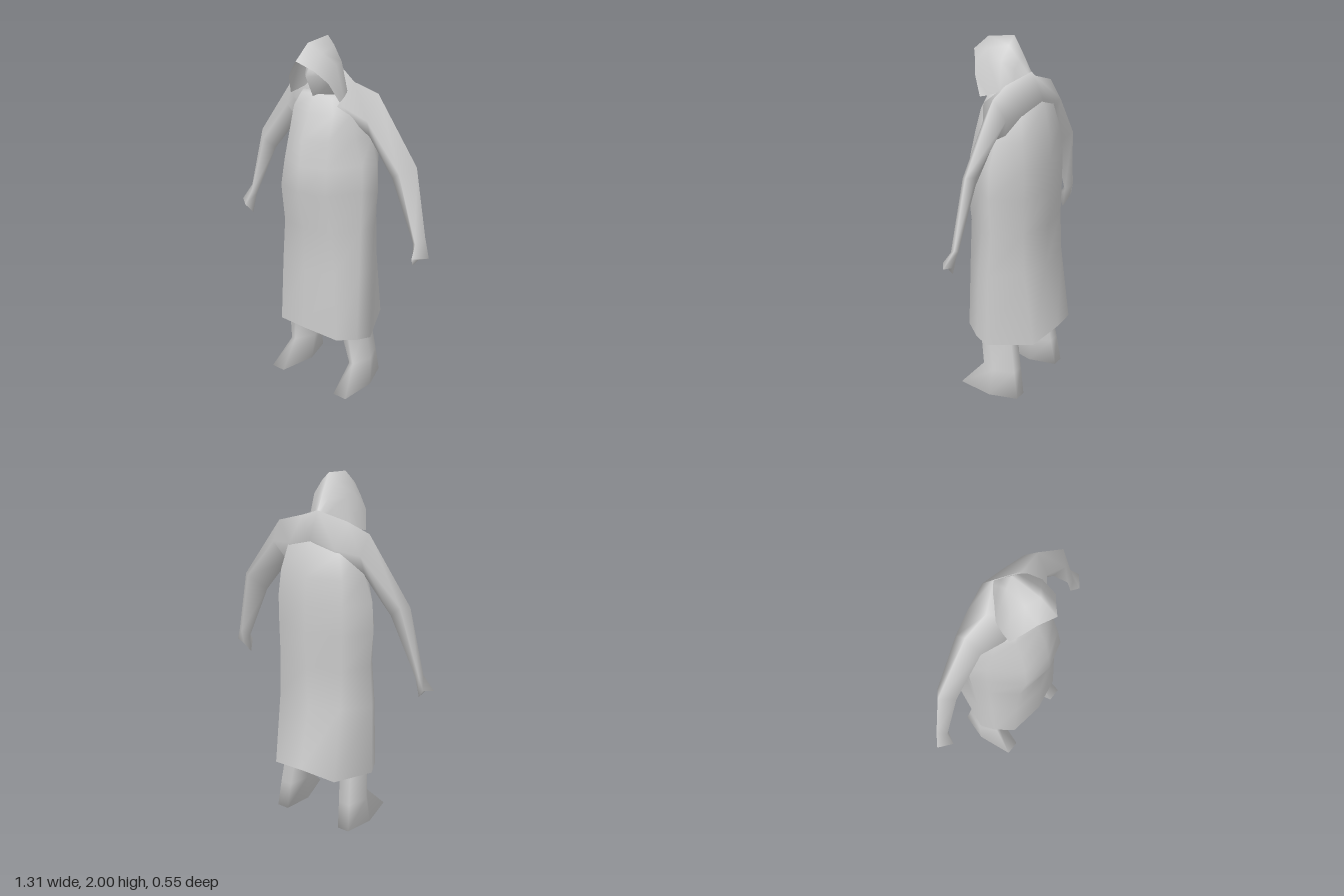
import * as THREE from 'three';

const material = new THREE.MeshStandardMaterial({ color: 0xcccccc, side: THREE.DoubleSide });

// Skin a list of cross-sections; closed rings may be capped at both ends.
function loft(name, rings, { closed = true, capStart = false, capEnd = false } = {}) {
  const n = rings[0].length;
  const pos = rings.flat(2);
  const index = [];
  const steps = closed ? n : n - 1;
  for (let i = 0; i < rings.length - 1; i++) {
    for (let j = 0; j < steps; j++) {
      const k = (j + 1) % n;
      const a = i * n + j, b = i * n + k, c = b + n, d = a + n;
      index.push(a, b, c, a, c, d);
    }
  }
  const cap = (r, flip) => {
    const centre = pos.length / 3;
    for (let k = 0; k < 3; k++) pos.push(rings[r].reduce((s, p) => s + p[k], 0) / n);
    for (let j = 0; j < n; j++) {
      const a = r * n + j, b = r * n + (j + 1) % n;
      index.push(centre, flip ? b : a, flip ? a : b);
    }
  };
  if (capStart) cap(0, true);
  if (capEnd) cap(rings.length - 1, false);
  const geometry = new THREE.BufferGeometry();
  geometry.setAttribute('position', new THREE.Float32BufferAttribute(pos, 3));
  geometry.setIndex(index);
  geometry.computeVertexNormals();
  const mesh = new THREE.Mesh(geometry, material);
  mesh.name = name;
  return mesh;
}

const flipX = ([x, y, z]) => [-x, y, z];
// Full ring from a half ring running front centre -> left side -> back centre.
const fullRing = (half) => [...half, ...half.slice(1, -1).reverse().map(flipX)];
// Open arch from a half arch running top centre -> left bottom.
const fullArch = (half) => [...half.slice(1).reverse().map(flipX), ...half];

export function createModel() {
  const model = new THREE.Group();
  model.name = 'hoodedFigure';
  const caps = { capStart: true, capEnd: true };

  // Robe, hem to neck
  const robe = [
    [[0, 0.385, 0.235], [0.2, 0.36, 0.2], [0.27, 0.34, 0.1], [0.3, 0.325, 0.01], [0.2, 0.355, -0.235], [0, 0.39, -0.275]],
    [[0, 0.75, 0.23], [0.18, 0.75, 0.195], [0.265, 0.75, 0.08], [0.295, 0.75, 0], [0.2, 0.78, -0.175], [0, 0.74, -0.19]],
    [[0, 1.0, 0.225], [0.16, 1.0, 0.195], [0.255, 1.0, 0.06], [0.29, 1.0, -0.02], [0.2, 1.0, -0.165], [0, 1.0, -0.205]],
    [[0, 1.22, 0.27], [0.15, 1.22, 0.23], [0.26, 1.22, 0.06], [0.305, 1.2, -0.02], [0.2, 1.2, -0.17], [0, 1.2, -0.212]],
    [[0, 1.36, 0.255], [0.14, 1.36, 0.21], [0.25, 1.36, 0.05], [0.295, 1.36, -0.02], [0.2, 1.36, -0.17], [0, 1.36, -0.21]],
    [[0, 1.5, 0.23], [0.13, 1.5, 0.18], [0.21, 1.5, 0.06], [0.25, 1.5, -0.03], [0.19, 1.5, -0.155], [0, 1.5, -0.203]],
    [[0, 1.63, 0.18], [0.13, 1.63, 0.14], [0.19, 1.63, 0.06], [0.21, 1.63, -0.03], [0.16, 1.63, -0.13], [0, 1.66, -0.17]],
    [[0, 1.72, 0.125], [0.1, 1.71, 0.11], [0.13, 1.71, 0.06], [0.13, 1.72, -0.02], [0.09, 1.72, -0.08], [0, 1.75, -0.1]],
  ].map(fullRing);
  model.add(loft('robe', robe, { capEnd: true }));

  // Hood, front rim to nape, narrowing to a point at the back
  const hood = [
    [[0, 1.91, 0.27], [0.07, 1.86, 0.215], [0.128, 1.8, 0.175], [0.16, 1.7, 0.125]],
    [[0, 1.985, 0.175], [0.06, 1.935, 0.135], [0.118, 1.88, 0.1], [0.15, 1.71, 0.08]],
    [[0, 2.0, 0.015], [0.045, 1.955, 0.02], [0.1, 1.88, 0.03], [0.13, 1.73, 0.02]],
    [[0, 1.9, -0.045], [0.03, 1.88, -0.035], [0.06, 1.84, -0.025], [0.08, 1.74, -0.035]],
    [[0, 1.81, -0.095], [0.015, 1.8, -0.09], [0.03, 1.78, -0.085], [0.04, 1.74, -0.08]],
  ].map(fullArch);
  model.add(loft('hood', hood, { closed: false }));

  // Face set back in the hood, tapering to the chin
  const face = [
    [[0, 1.71, 0.14], [0.02, 1.72, 0.12], [0.08, 1.71, 0.05], [0, 1.71, 0]],
    [[0, 1.82, 0.195], [0.06, 1.82, 0.13], [0.09, 1.8, 0.06], [0, 1.8, 0]],
    [[0, 1.87, 0.16], [0.05, 1.86, 0.12], [0.07, 1.85, 0.06], [0, 1.87, 0.02]],
  ].map(fullRing);
  model.add(loft('face', face, caps));

  // Shoulders and sleeves run as one piece from hand to hand;
  // each ring is top, front, bottom, back
  const spine = [[0, 1.825, -0.09], [0, 1.67, 0.12], [0, 1.45, 0], [0, 1.69, -0.163]];
  const arm = [
    [[0.14, 1.772, -0.025], [0.165, 1.67, 0.1], [0.17, 1.44, -0.03], [0.14, 1.65, -0.143]],
    [[0.28, 1.73, -0.04], [0.265, 1.6, 0.035], [0.245, 1.5, -0.02], [0.27, 1.63, -0.112]],
    [[0.525, 1.39, -0.04], [0.46, 1.36, 0.025], [0.4, 1.31, -0.01], [0.485, 1.39, -0.075]],
    [[0.607, 1.03, -0.02], [0.575, 1.0, 0.025], [0.55, 0.99, 0.005], [0.585, 1.02, -0.03]],
    [[0.655, 0.94, 0.015], [0.585, 0.935, 0.07], [0.565, 0.875, 0.025], [0.6, 0.93, 0]],
  ];
  const otherArm = arm.map((ring) => ring.map(flipX)).reverse();
  model.add(loft('shouldersAndArms', [...otherArm, spine, ...arm], caps));

  // Leg and pointed foot; rings start at the toe's inner corner
  const leg = [
    [[0.19, 0, 0.21], [0.275, 0, 0.21], [0.3, 0, 0], [0.25, 0, -0.16], [0.18, 0, -0.16], [0.14, 0, 0]],
    [[0.205, 0.15, 0.08], [0.23, 0.15, 0.08], [0.285, 0.16, -0.02], [0.24, 0.16, -0.135], [0.17, 0.16, -0.135], [0.13, 0.16, -0.02]],
    [[0.16, 0.4, 0.115], [0.21, 0.4, 0.115], [0.265, 0.4, 0.01], [0.22, 0.4, -0.095], [0.15, 0.4, -0.095], [0.118, 0.4, 0.01]],
    [[0.14, 0.6, 0.14], [0.18, 0.6, 0.14], [0.23, 0.6, 0.03], [0.2, 0.6, -0.06], [0.13, 0.6, -0.06], [0.1, 0.6, 0.03]],
  ];
  // Mirrored points in reversed order keep the faces outward.
  const otherLeg = leg.map((ring) => ring.map(flipX).reverse());
  model.add(loft('leftLeg', leg, caps), loft('rightLeg', otherLeg, caps));

  return model;
}
